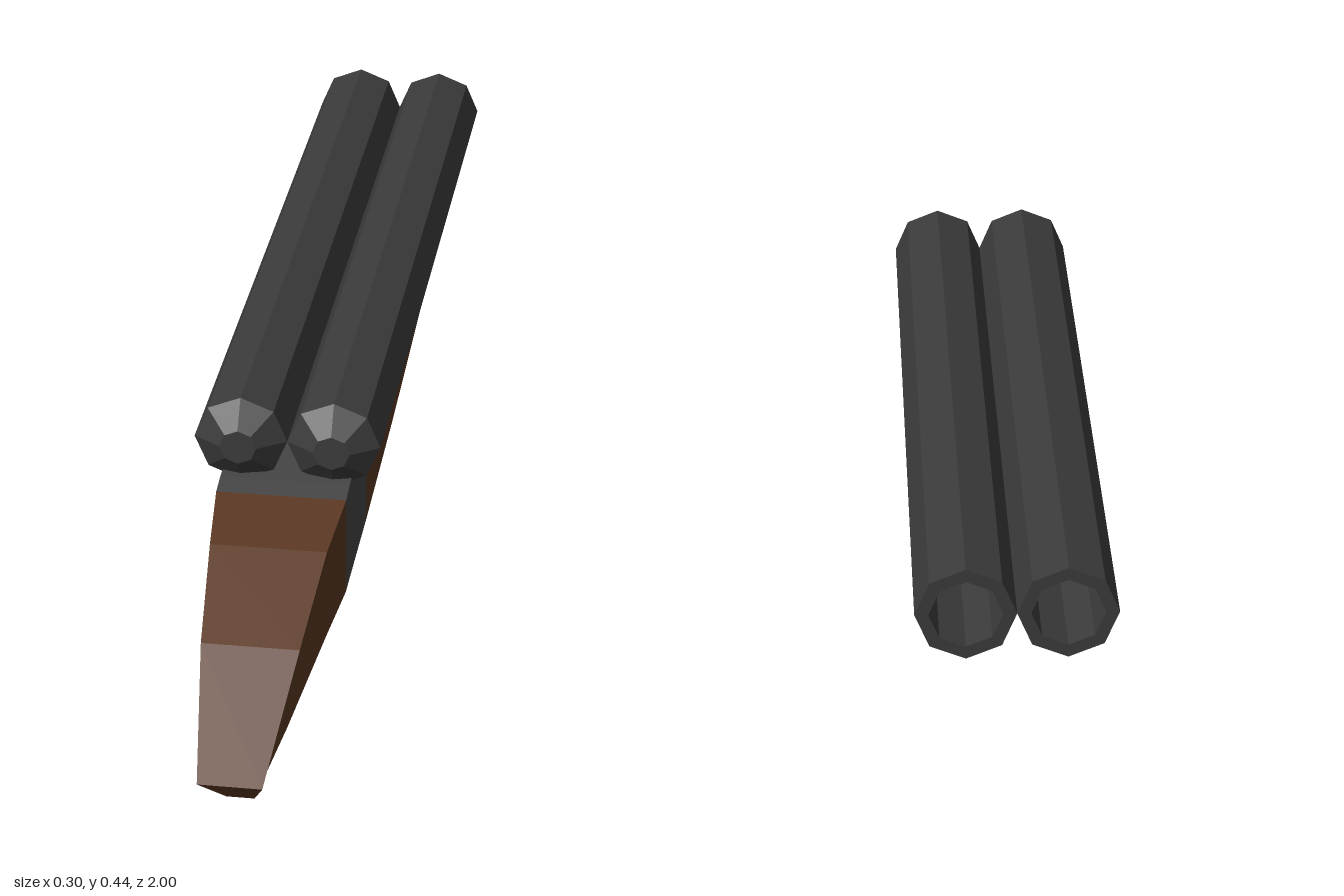
import * as THREE from 'three';

const wood = new THREE.MeshStandardMaterial({ color: 0x5a3822 });
wood.name = 'brown wood';
const steel = new THREE.MeshStandardMaterial({ color: 0x454545 });
steel.name = 'grey steel';
const darkSteel = new THREE.MeshStandardMaterial({ color: 0x3b3b3b });
darkSteel.name = 'dark barrel steel';

// Flat-faceted mesh
function facetedMesh(geometry, material, name) {
  const flat = geometry.index ? geometry.toNonIndexed() : geometry;
  flat.computeVertexNormals();
  const mesh = new THREE.Mesh(flat, material);
  mesh.name = name;
  return mesh;
}

// Skins four-cornered sections, listed from +z to -z:
// [top z, top y, top half width, bottom z, bottom y, bottom half width]
function loft(sections) {
  const positions = [];
  const index = [];
  const quad = (a, b, c, d) => index.push(a, b, c, a, c, d);
  for (const [tz, ty, tw, bz, by, bw] of sections) {
    positions.push(tw, ty, tz, -tw, ty, tz, -bw, by, bz, bw, by, bz);
  }
  for (let s = 0; s < sections.length - 1; s++) {
    for (let i = 0; i < 4; i++) {
      const j = (i + 1) % 4;
      const a = s * 4, b = a + 4;
      quad(a + i, b + i, b + j, a + j);
    }
  }
  const e = (sections.length - 1) * 4;
  quad(0, 1, 2, 3);
  quad(e + 3, e + 2, e + 1, e);
  const geometry = new THREE.BufferGeometry();
  geometry.setAttribute('position', new THREE.Float32BufferAttribute(positions, 3));
  geometry.setIndex(index);
  return geometry;
}

// Eight-sided hollow barrel with a chamfered breech
function barrelGeometry() {
  const profile = [
    [0, -0.8], [0.055, -0.8], [0.055, -1], [0.0755, -1],
    [0.0755, 0.423], [0.03, 0.455], [0, 0.455],
  ].map(([r, z]) => new THREE.Vector2(r, z));
  return new THREE.LatheGeometry(profile, 8).rotateX(Math.PI / 2).scale(1, 0.97, 1);
}

export function createModel() {
  const model = new THREE.Group();
  model.name = 'shortDoubleBarrelGun';

  // Curved, tapering grip
  model.add(facetedMesh(loft([
    [1.0, 0.079, 0.05, 0.905, 0.0, 0.022],
    [0.8, 0.207, 0.077, 0.8, 0.064, 0.056],
    [0.62, 0.281, 0.093, 0.62, 0.13, 0.092],
    [0.49, 0.305, 0.105, 0.49, 0.138, 0.105],
  ]), wood, 'grip'));

  // Metal receiver
  model.add(facetedMesh(loft([
    [0.49, 0.305, 0.105, 0.49, 0.138, 0.105],
    [0.45, 0.312, 0.105, 0.45, 0.139, 0.105],
    [0.245, 0.312, 0.105, 0.245, 0.14, 0.105],
  ]), steel, 'receiver'));

  // Forend under the barrels
  model.add(facetedMesh(loft([
    [0.245, 0.312, 0.105, 0.245, 0.14, 0.105],
    [-0.1, 0.311, 0.105, -0.1, 0.153, 0.105],
    [-0.55, 0.309, 0.105, -0.55, 0.185, 0.105],
    [-0.68, 0.308, 0.105, -0.68, 0.23, 0.105],
    [-0.735, 0.307, 0.105, -0.735, 0.303, 0.105],
  ]), wood, 'forend'));

  // Side-by-side barrels
  for (const side of [1, -1]) {
    const barrel = facetedMesh(barrelGeometry(), darkSteel, side > 0 ? 'leftBarrel' : 'rightBarrel');
    barrel.position.set(side * 0.0755, 0.368, 0);
    model.add(barrel);
  }

  return model;
}
